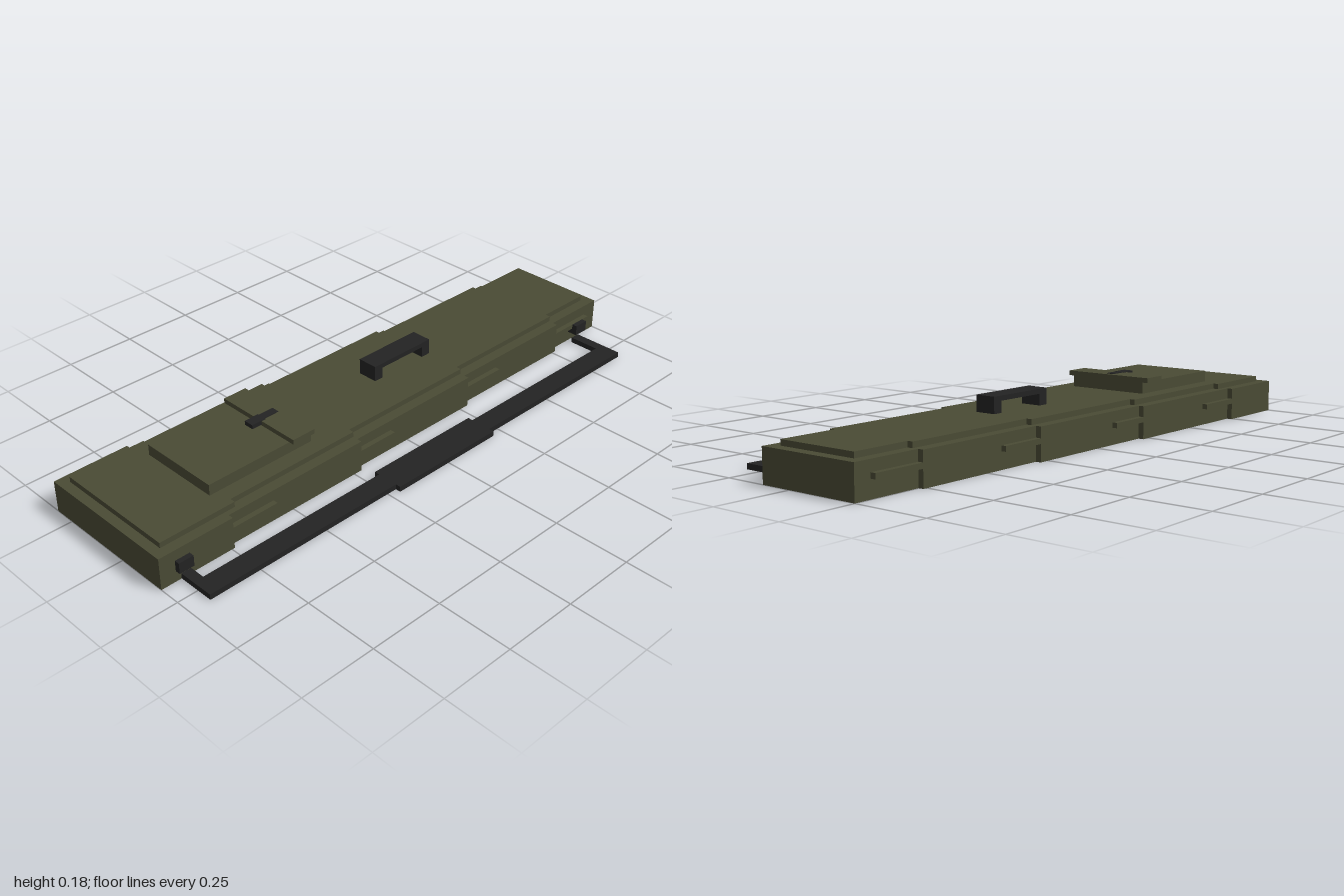
import * as THREE from 'three';

const olive = new THREE.MeshStandardMaterial({ color: 0x4a4b35 });
olive.name = 'olive';
const black = new THREE.MeshStandardMaterial({ color: 0x232323 });
black.name = 'black';

const MID = -0.0715; // z of the case centre line
const STEP = 0.018; // each section is this much narrower per side

// Box from its minimum and maximum along each axis
function box(parent, name, mat, [x0, x1], [y0, y1], [z0, z1]) {
  const mesh = new THREE.Mesh(new THREE.BoxGeometry(x1 - x0, y1 - y0, z1 - z0), mat);
  mesh.position.set((x0 + x1) / 2, (y0 + y1) / 2, (z0 + z1) / 2);
  mesh.name = name;
  parent.add(mesh);
}

// Slab whose outline narrows in steps at the given x positions
function steppedSlab(parent, name, xs, half, y0, y1) {
  const side = [];
  for (let i = 0; i < xs.length - 1; i++) {
    const h = half - i * STEP;
    side.push([xs[i], h], [xs[i + 1], h]);
  }
  const outline = [
    ...side.map(([x, h]) => new THREE.Vector2(x, -h)),
    ...side.reverse().map(([x, h]) => new THREE.Vector2(x, h)),
  ];
  const geo = new THREE.ExtrudeGeometry(new THREE.Shape(outline), { depth: y1 - y0, bevelEnabled: false });
  geo.rotateX(-Math.PI / 2);
  const mesh = new THREE.Mesh(geo, olive);
  mesh.position.set(0, y0, MID);
  mesh.name = name;
  parent.add(mesh);
}

export function createModel() {
  const model = new THREE.Group();
  model.name = 'case';

  // Tapering body and lid
  steppedSlab(model, 'body', [-1, -0.74, -0.22, 0.285, 0.765, 1], 0.25, 0, 0.107);
  steppedSlab(model, 'lid', [-0.967, -0.703, -0.22, 0.285, 0.768, 0.965], 0.2145, 0.107, 0.125);

  // Side ribs continuing each step, front and back
  const ribs = new THREE.Group();
  ribs.name = 'sideRibs';
  [[-0.74, -0.575], [-0.22, -0.075], [0.285, 0.443], [0.765, 0.942]].forEach((span, i) => {
    const outer = 0.25 - i * STEP;
    for (const s of [1, -1]) {
      const z = [MID + s * (outer - STEP), MID + s * outer].sort((a, b) => a - b);
      box(ribs, 'rib', olive, span, [0.055, 0.072], z);
    }
  });
  model.add(ribs);

  // Raised compartment with overhanging end plate and latch
  box(model, 'compartment', olive, [-0.735, -0.345], [0.125, 0.162], [-0.214, 0.071]);
  box(model, 'endPlate', olive, [-0.43, -0.345], [0.162, 0.178], [-0.232, 0.089]);
  const latch = new THREE.Group();
  latch.name = 'latch';
  box(latch, 'latchTab', black, [-0.467, -0.415], [0.166, 0.18], [-0.089, -0.054]);
  box(latch, 'latchBar', black, [-0.415, -0.36], [0.17, 0.18], [-0.085, -0.058]);
  model.add(latch);

  // Top carrying handle
  const handle = new THREE.Group();
  handle.name = 'topHandle';
  box(handle, 'grip', black, [0.033, 0.285], [0.162, 0.178], [-0.107, -0.036]);
  box(handle, 'post', black, [0.033, 0.067], [0.125, 0.162], [-0.107, -0.036]);
  box(handle, 'post', black, [0.251, 0.285], [0.125, 0.162], [-0.107, -0.036]);
  model.add(handle);

  // Folded front bail with grip, arms and mounts
  const bail = new THREE.Group();
  bail.name = 'frontBail';
  const y = [0, 0.018];
  box(bail, 'bar', black, [-0.93, -0.215], y, [0.232, 0.304]);
  box(bail, 'bar', black, [0.21, 0.892], y, [0.232, 0.304]);
  box(bail, 'bailGrip', black, [-0.215, 0.21], y, [0.214, 0.322]);
  box(bail, 'arm', black, [-0.93, -0.896], y, [0.178, 0.232]);
  box(bail, 'arm', black, [0.858, 0.892], y, [0.125, 0.232]);
  box(bail, 'mount', black, [-0.947, -0.896], [0.036, 0.072], [0.178, 0.196]);
  box(bail, 'mount', black, [0.856, 0.91], [0.036, 0.072], [0.107, 0.143]);
  model.add(bail);

  return model;
}
